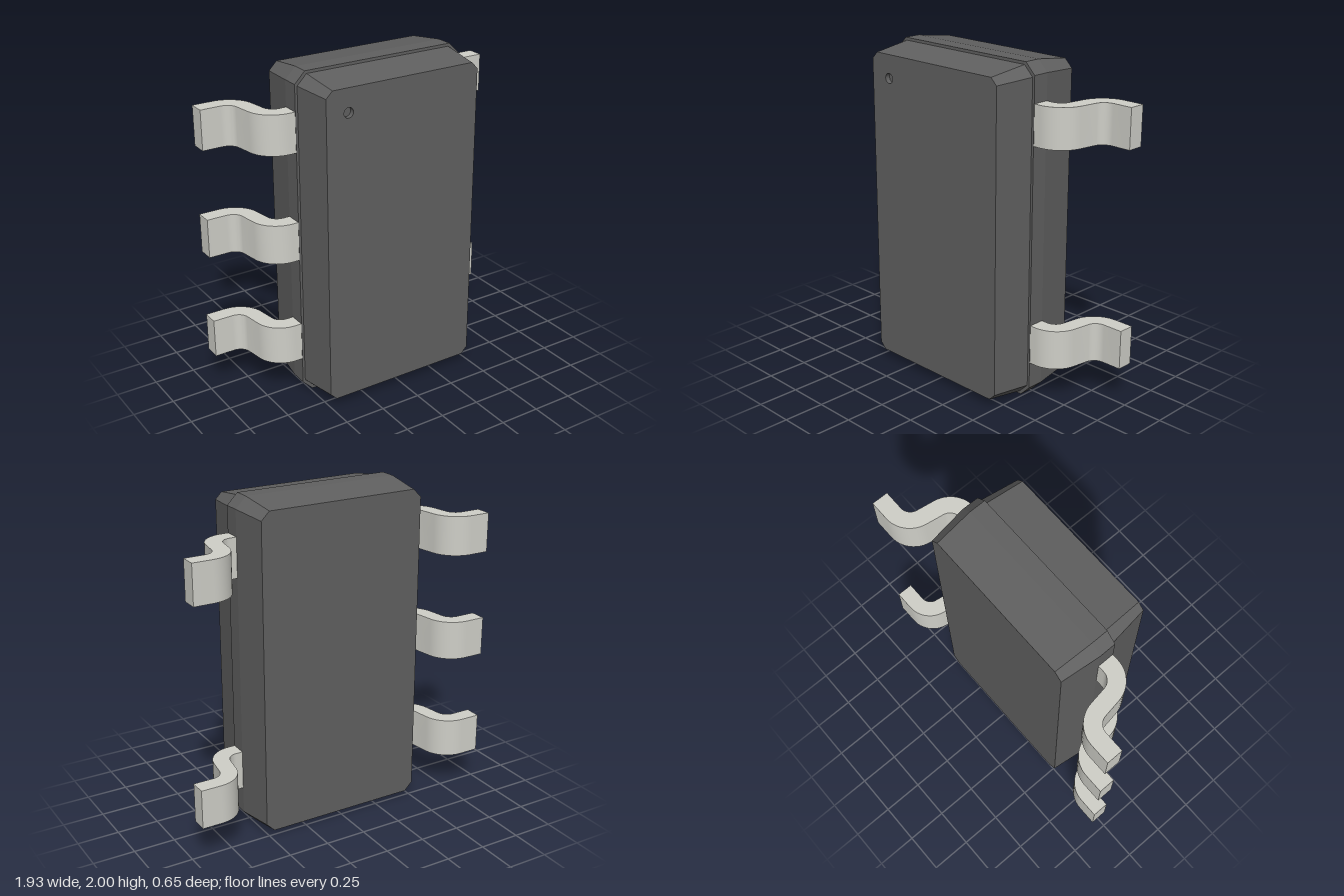
import * as THREE from 'three';
import { toCreasedNormals } from 'three/addons/utils/BufferGeometryUtils.js';

const bodyMat = new THREE.MeshStandardMaterial({ color: 0x606060 });
const recessMat = new THREE.MeshStandardMaterial({ color: 0x606060, side: THREE.DoubleSide });
const leadMat = new THREE.MeshStandardMaterial({ color: 0xcfcfc8 });

// Rectangle with chamfered corners, counter-clockwise
function chamferedRect(hx, hy, c) {
  return [
    [hx, -hy + c], [hx, hy - c], [hx - c, hy], [-hx + c, hy],
    [-hx, hy - c], [-hx, -hy + c], [-hx + c, -hy], [hx - c, -hy],
  ].map(([x, y]) => new THREE.Vector2(x, y));
}

// Body sections from front to back: z, half width, half height, chamfer
const SECTIONS = [
  [0.325, 0.5, 0.95, 0.04],
  [0.082, 0.533, 0.983, 0.06],
  [0.082, 0.548, 1, 0.065],
  [-0.02, 0.548, 1, 0.065],
  [-0.257, 0.518, 0.968, 0.05],
];

// Tapered sides, small step at the parting line, and back face
function bodyShell() {
  const rings = SECTIONS.map(([z, hx, hy, c]) =>
    chamferedRect(hx, hy, c).map((p) => new THREE.Vector3(p.x, p.y, z)));
  const pts = [];
  for (let r = 0; r < rings.length - 1; r++) {
    const a = rings[r], b = rings[r + 1];
    for (let i = 0; i < 8; i++) {
      const j = (i + 1) % 8;
      pts.push(a[i], b[i], b[j], a[i], b[j], a[j]);
    }
  }
  const back = rings[rings.length - 1];
  for (let i = 1; i < 7; i++) pts.push(back[0], back[i + 1], back[i]);
  const geo = new THREE.BufferGeometry().setFromPoints(pts);
  geo.computeVertexNormals();
  return geo;
}

// S-bent strip: profile in the x-z plane, extruded along y
function leadGeometry() {
  const width = 0.238, tilt = 0.15, steps = 12;
  const near = new THREE.Vector2(0.588, -0.09), far = new THREE.Vector2(0.841, -0.16);
  const side = (rNear, rFar, z0, z1) => {
    const pts = [new THREE.Vector2(0.5, z0)];
    const arc = (c, r, from, to) => {
      for (let i = 0; i <= steps; i++) {
        const t = from + (to - from) * i / steps;
        pts.push(new THREE.Vector2(c.x + r * Math.cos(t), c.y + r * Math.sin(t)));
      }
    };
    arc(near, rNear, Math.PI / 2, tilt);
    arc(far, rFar, Math.PI + tilt, Math.PI * 1.5);
    pts.push(new THREE.Vector2(0.963, z1));
    return pts;
  };
  const outer = side(0.17, 0.07, 0.08, -0.23);
  const inner = side(0.07, 0.17, -0.02, -0.33);
  const shape = new THREE.Shape([...outer, ...inner.reverse()]);
  const geo = new THREE.ExtrudeGeometry(shape, { depth: width, bevelEnabled: false });
  geo.translate(0, 0, -width / 2);
  geo.rotateX(Math.PI / 2);
  return toCreasedNormals(geo, 0.5);
}

export function createModel() {
  const model = new THREE.Group();
  const add = (parent, name, geo, mat, x = 0, y = 0, z = 0) => {
    const mesh = new THREE.Mesh(geo, mat);
    mesh.name = name;
    mesh.position.set(x, y, z);
    parent.add(mesh);
    return mesh;
  };

  // Moulded body
  const body = new THREE.Group();
  body.name = 'body';
  body.position.y = 1;
  model.add(body);
  add(body, 'bodyShell', bodyShell(), bodyMat);

  // Front face with the round orientation recess
  const [zf, hx, hy, c] = SECTIONS[0];
  const dot = { x: -0.36, y: 0.81, r: 0.03, depth: 0.03 };
  const face = new THREE.Shape(chamferedRect(hx, hy, c));
  face.holes.push(new THREE.Path().absarc(dot.x, dot.y, dot.r, 0, Math.PI * 2, true));
  add(body, 'frontFace', new THREE.ShapeGeometry(face, 16), bodyMat, 0, 0, zf);
  const wall = new THREE.CylinderGeometry(dot.r, dot.r, dot.depth, 32, 1, true).rotateX(Math.PI / 2);
  add(body, 'recessWall', wall, recessMat, dot.x, dot.y, zf - dot.depth / 2);
  add(body, 'recessFloor', new THREE.CircleGeometry(dot.r, 32), bodyMat, dot.x, dot.y, zf - dot.depth);

  // Two leads on the left, three on the right
  const lead = leadGeometry();
  for (const y of [0.347, 1.66]) add(model, 'leftLead', lead, leadMat, 0, y);
  for (const y of [0.347, 1.003, 1.66]) add(model, 'rightLead', lead, leadMat, 0, y).rotation.z = Math.PI;

  return model;
}
